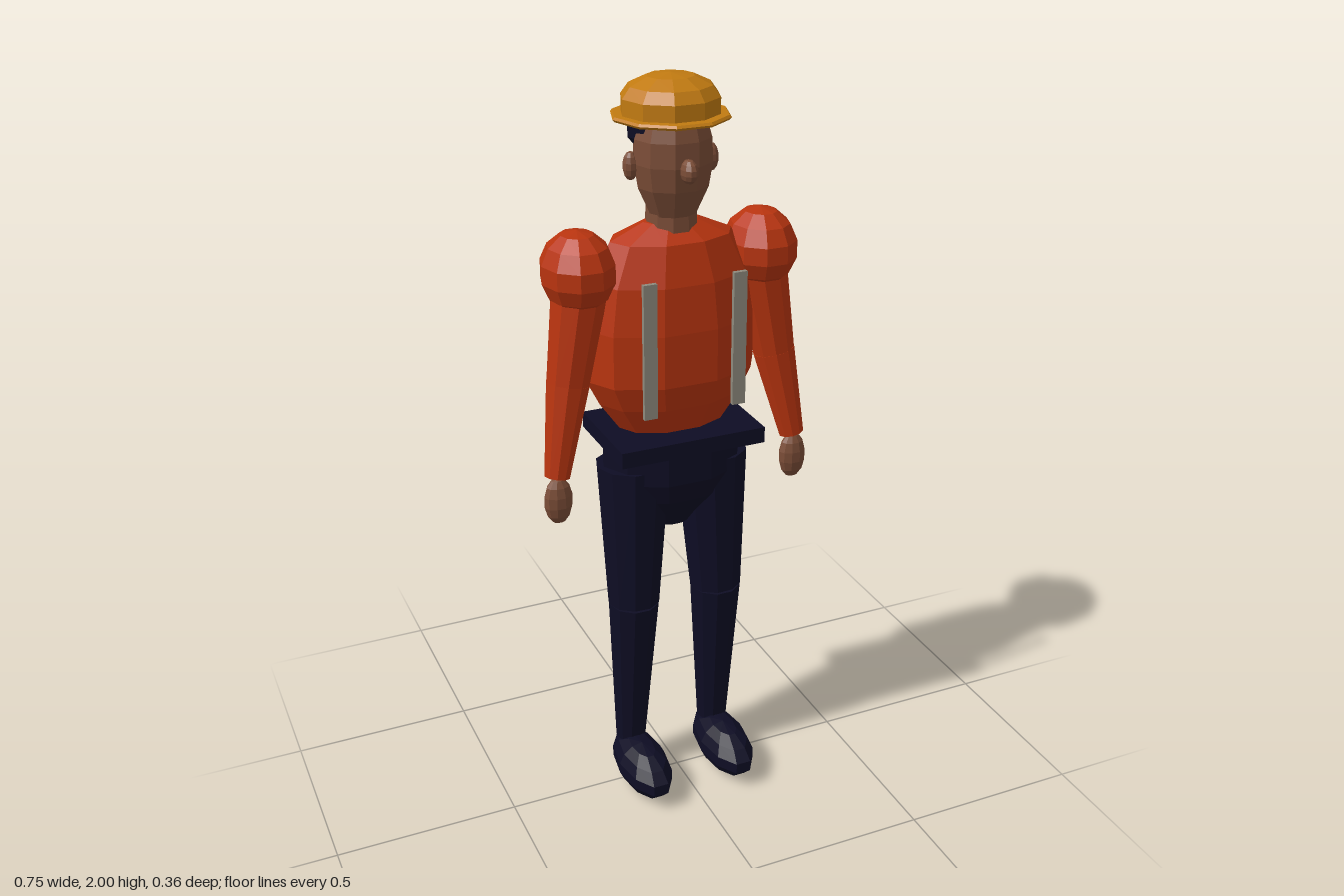
import * as THREE from 'three';

const SIDES = 10;
const V = (x, y, z) => new THREE.Vector3(x, y, z);

function flatMaterial(name, color) {
  const m = new THREE.MeshStandardMaterial({ color, flatShading: true });
  m.name = name;
  return m;
}

export function createModel() {
  const root = new THREE.Group();
  root.name = 'worker';
  const shirt = flatMaterial('shirt orange', 0xb8340f);
  const navy = flatMaterial('navy', 0x0e0d24);
  const skin = flatMaterial('skin brown', 0x7b4d37);
  const yellow = flatMaterial('helmet yellow', 0xc17a11);
  const grey = flatMaterial('strap grey', 0x8f8b7e);

  function add(name, geometry, material) {
    const mesh = new THREE.Mesh(geometry, material);
    mesh.name = name;
    root.add(mesh);
    return mesh;
  }

  // Faceted ellipsoid
  function ball(name, c, r, material, rings = 7) {
    const g = new THREE.SphereGeometry(1, SIDES, rings);
    g.scale(r[0], r[1], r[2]);
    return add(name, g.translate(c[0], c[1], c[2]), material);
  }

  // Ten-sided turned form from [radius, height] points, flattened in z
  function turned(name, profile, depth, z, material) {
    const pts = profile.map(([r, y]) => new THREE.Vector2(r, y));
    const g = new THREE.LatheGeometry(pts, SIDES, Math.PI / 2);
    g.scale(1, 1, depth);
    return add(name, g.translate(0, 0, z), material);
  }

  // Tapered limb between two points
  function limb(name, top, bottom, rTop, rBottom, material) {
    const dir = top.clone().sub(bottom);
    const g = new THREE.CylinderGeometry(rTop, rBottom, dir.length(), SIDES);
    g.rotateY(Math.PI / 2);
    const mesh = add(name, g, material);
    mesh.quaternion.setFromUnitVectors(V(0, 1, 0), dir.normalize());
    mesh.position.copy(top).add(bottom).multiplyScalar(0.5);
    return mesh;
  }

  // Helmet
  turned('helmetDome', [[0.125, 1.9], [0.125, 1.945], [0.105, 1.972], [0.06, 1.993], [0, 2]], 0.96, -0.04, yellow);
  turned('helmetBrim', [[0, 1.893], [0.145, 1.893], [0.15, 1.899], [0.145, 1.905], [0, 1.905]], 1.01, -0.04, yellow);

  // Head
  turned('hair', [[0, 1.82], [0.085, 1.825], [0.106, 1.85], [0.108, 1.9], [0, 1.9]], 0.83, -0.055, navy);
  turned('head', [[0, 1.66], [0.06, 1.66], [0.092, 1.73], [0.102, 1.79], [0.1, 1.85], [0.085, 1.9], [0, 1.9]],
    0.92, -0.027, skin);
  turned('neck', [[0, 1.59], [0.068, 1.59], [0.064, 1.69], [0, 1.69]], 1, -0.038, skin);
  ball('nose', [0, 1.785, 0.07], [0.021, 0.03, 0.032], skin);

  // Torso
  turned('torso', [[0, 1.085], [0.14, 1.085], [0.2, 1.17], [0.235, 1.24], [0.235, 1.38], [0.215, 1.5],
    [0.165, 1.6], [0.075, 1.64], [0, 1.645]], 0.57, -0.038, shirt);

  // Hips
  add('belt', new THREE.BoxGeometry(0.4, 0.043, 0.283).translate(0, 1.074, -0.029), navy);
  turned('hips', [[0, 0.79], [0.05, 0.795], [0.1, 0.84], [0.165, 0.9], [0.195, 0.96], [0.195, 1.06], [0, 1.06]],
    0.66, -0.037, navy);

  // Paired parts
  for (const [side, s] of [['left', 1], ['right', -1]]) {
    ball(side + 'Ear', [s * 0.107, 1.785, -0.037], [0.02, 0.036, 0.019], skin);
    add(side + 'Strap', new THREE.BoxGeometry(0.036, 0.355, 0.012).translate(s * 0.121, 1.355, 0.11), grey);

    // Arm
    const upper = V(s * 0.242, 1.52, -0.038);
    const elbow = V(s * 0.29, 1.25, -0.025);
    const wrist = V(s * 0.337, 1.01, 0.003);
    ball(side + 'Shoulder', [s * 0.249, 1.537, -0.04], [0.096, 0.105, 0.11], shirt);
    limb(side + 'UpperArm', upper, elbow, 0.075, 0.056, shirt);
    limb(side + 'Forearm', elbow, wrist, 0.057, 0.034, shirt);
    ball(side + 'Hand', [s * 0.338, 0.945, 0.01], [0.039, 0.066, 0.027], skin);

    // Leg
    const hip = V(s * 0.112, 0.99, -0.037);
    const knee = V(s * 0.123, 0.58, -0.018);
    const ankle = V(s * 0.128, 0.12, -0.042);
    limb(side + 'Thigh', hip, knee, 0.1, 0.072, navy);
    limb(side + 'Shin', knee, ankle, 0.071, 0.043, navy);
    ball(side + 'Shoe', [s * 0.127, 0.07, 0.041], [0.07, 0.07, 0.15], navy);
  }
  return root;
}
